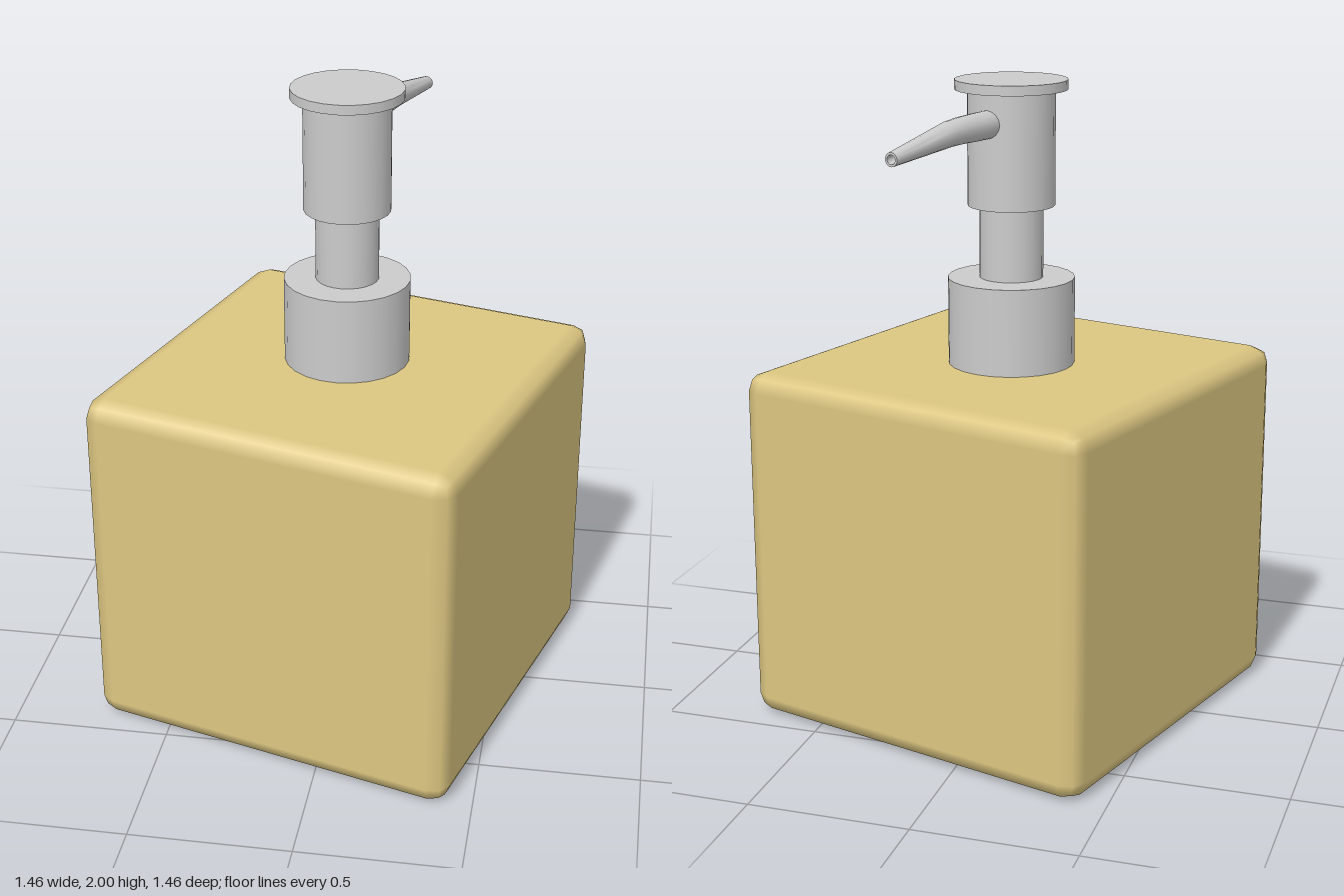
import * as THREE from 'three';
import { toCreasedNormals } from 'three/addons/utils/BufferGeometryUtils.js';

const TURN = -0.28;      // whole dispenser is turned about the vertical axis
const PUMP_Z = -0.033;   // pump sits slightly behind the centre

// Box whose edges are rounded in two steps, with exactly flat faces
function bevelledBox(w, h, d, r) {
  const geo = new THREE.BoxGeometry(1, 1, 1, 3, 3, 3);
  const pos = geo.attributes.position, nor = geo.attributes.normal;
  const half = [w / 2, h / 2, d / 2];
  for (let i = 0; i < pos.count; i++) {
    const p = [pos.getX(i), pos.getY(i), pos.getZ(i)];
    const inner = new THREE.Vector3(...p.map((v, k) => Math.sign(v) * (half[k] - r)));
    const dir = new THREE.Vector3(...p.map(v => (Math.abs(v) > 0.4 ? Math.sign(v) : 0))).normalize();
    inner.addScaledVector(dir, r);
    pos.setXYZ(i, inner.x, inner.y, inner.z);
    nor.setXYZ(i, dir.x, dir.y, dir.z);
  }
  return geo;
}

// Tapered spout along -z with a hollow tip, bent downwards past its middle
function spoutGeometry() {
  const profile = [
    [0.043, 0.08], [0.042, 0.2], [0.040, 0.27], [0.038, 0.33], [0.030, 0.46],
    [0.021, 0.605], [0.014, 0.605], [0.012, 0.55], [0, 0.55],
  ].map(([r, s]) => new THREE.Vector2(r, s));
  const geo = new THREE.LatheGeometry(profile, 16);
  geo.rotateX(-Math.PI / 2);
  const pos = geo.attributes.position;
  for (let i = 0; i < pos.count; i++) {
    const past = Math.max(0, -pos.getZ(i) - 0.31);
    pos.setY(i, pos.getY(i) - past * 0.13);
  }
  return toCreasedNormals(geo, 0.6);
}

export function createModel() {
  const model = new THREE.Group();
  model.name = 'soapDispenser';
  const tan = new THREE.MeshStandardMaterial({ color: 0xdcc681 });
  const grey = new THREE.MeshStandardMaterial({ color: 0xcccccc });

  // Bottle
  const bottle = new THREE.Mesh(bevelledBox(1.21, 1.125, 1.21, 0.06), tan);
  bottle.name = 'bottle';
  bottle.position.y = 0.5625;
  bottle.rotation.y = TURN;
  model.add(bottle);

  // Pump: stacked cylinders
  const pump = new THREE.Group();
  pump.name = 'pump';
  pump.position.z = PUMP_Z;
  pump.rotation.y = TURN;
  model.add(pump);
  const parts = [
    ['collar', 0.196, 1.12, 1.395],
    ['stem', 0.098, 1.39, 1.63],
    ['pumpHead', 0.134, 1.618, 1.975],
    ['pressCap', 0.172, 1.97, 2.0],
  ];
  for (const [name, radius, y0, y1] of parts) {
    const mesh = new THREE.Mesh(new THREE.CylinderGeometry(radius, radius, y1 - y0, 24), grey);
    mesh.name = name;
    mesh.position.y = (y0 + y1) / 2;
    pump.add(mesh);
  }

  // Spout
  const spout = new THREE.Mesh(spoutGeometry(), grey);
  spout.name = 'spout';
  spout.position.y = 1.878;
  pump.add(spout);

  return model;
}
